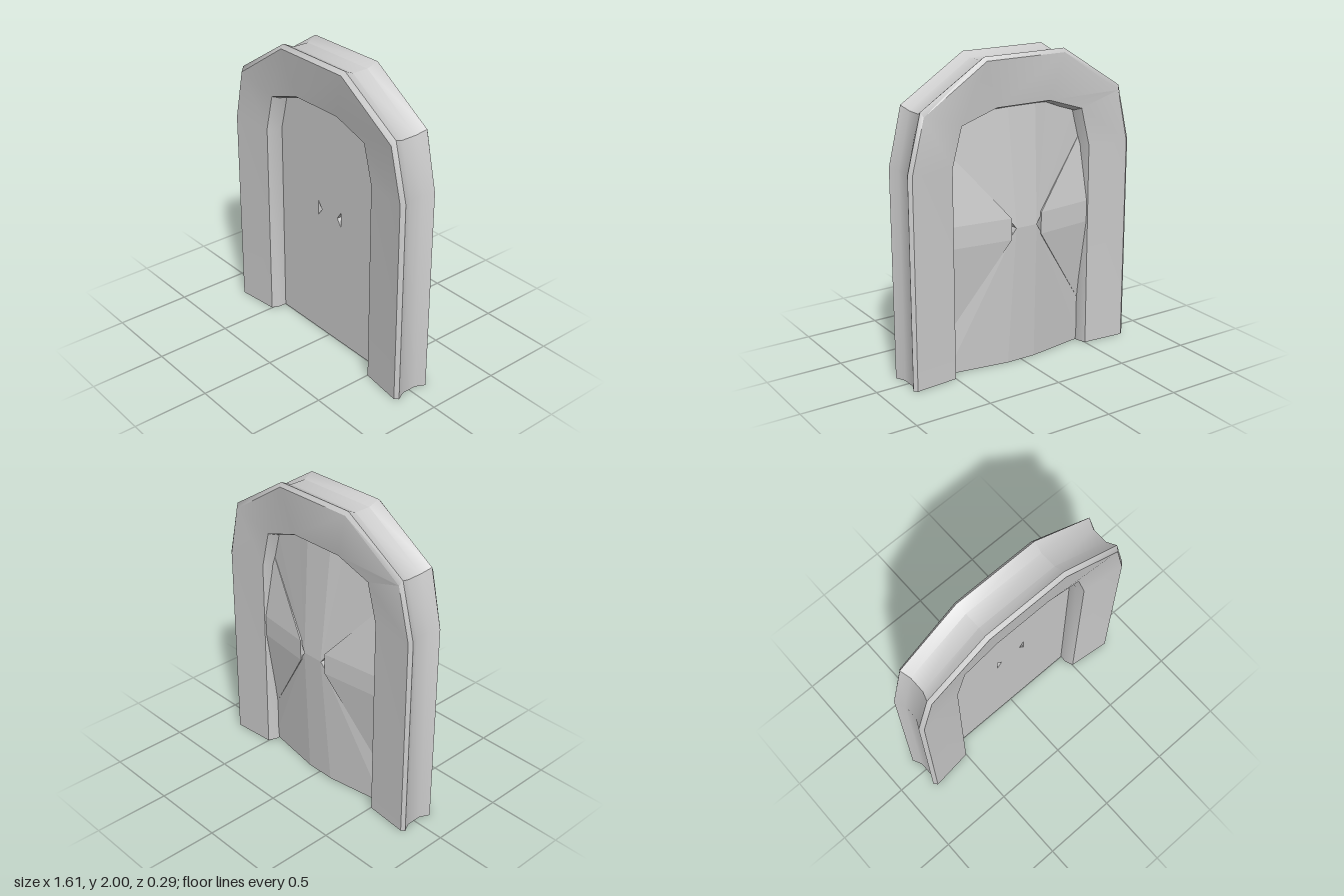
import * as THREE from 'three';
import { toCreasedNormals } from 'three/addons/utils/BufferGeometryUtils.js';

const BACK_EDGE = -0.02;   // panel back at its rim
const ARM_END = -0.085;    // raised arms at the rim
const HUB = -0.145;        // raised arms at the middle
const MID = 0.92;          // height of the panel's middle

const geometryFrom = (triangles) => {
  const g = new THREE.BufferGeometry();
  g.setAttribute('position', new THREE.Float32BufferAttribute(triangles.flat(2), 3));
  return g;
};

const mirrorPath = (half) => [...half, ...half.map(([x, y]) => [-x, y]).reverse()];

// Stone surround: a grooved section carried along the arch
function archGeometry() {
  const jamb = mirrorPath([[0.48, 0], [0.48, 1.35], [0.42, 1.585], [0.185, 1.662]]);
  const faceIn = mirrorPath([[0.502, 0], [0.502, 1.357], [0.437, 1.605], [0.192, 1.685]]);
  const faceOut = mirrorPath([[0.785, 0], [0.785, 1.355], [0.704, 1.695], [0.278, 1.976]]);
  const lip = mirrorPath([[0.807, 0], [0.807, 1.36], [0.717, 1.725], [0.285, 2.0]]);
  const groove = mirrorPath([[0.776, 0], [0.776, 1.354], [0.694, 1.699], [0.275, 1.969]]);
  // [loop, z]
  const section = [
    [jamb, -0.05], [faceIn, -0.106], [faceOut, -0.13], [lip, -0.112], [groove, -0.05],
    [groove, 0.05], [lip, 0.112], [faceOut, 0.135], [faceIn, 0.102], [jamb, 0.05],
  ];
  const rings = jamb.map((_, i) => section.map(([loop, z]) => {
    const [x, y] = loop[i];
    // the surround thickens slightly toward the crown
    const swell = 1 + 0.09 * THREE.MathUtils.clamp((y - 1.3) / 0.7, 0, 1);
    return [x, y, z * swell];
  }));
  const tris = [];
  const n = section.length;
  for (let i = 0; i < rings.length - 1; i++) {
    for (let j = 0; j < n; j++) {
      const k = (j + 1) % n;
      const a = rings[i][j], b = rings[i][k], c = rings[i + 1][k], d = rings[i + 1][j];
      tris.push([a, d, c], [a, c, b]);
    }
  }
  // feet
  const contour = rings[0].map(([x, , z]) => new THREE.Vector2(x, z));
  const last = rings[rings.length - 1];
  for (const [a, b, c] of THREE.ShapeUtils.triangulateShape(contour, [])) {
    tris.push([rings[0][a], rings[0][b], rings[0][c]], [last[a], last[c], last[b]]);
  }
  return toCreasedNormals(geometryFrom(tris), 0.65);
}

// Flat panel front with two small triangular openings
function panelFrontGeometry() {
  const outline = mirrorPath([[0.52, 0], [0.52, 1.36], [0.45, 1.62], [0.2, 1.7]]);
  const shape = new THREE.Shape(outline.map(([x, y]) => new THREE.Vector2(x, y)));
  for (const s of [1, -1]) {
    shape.holes.push(new THREE.Path([
      new THREE.Vector2(s * 0.11, MID + 0.05),
      new THREE.Vector2(s * 0.11, MID - 0.05),
      new THREE.Vector2(s * 0.075, MID),
    ]));
  }
  return new THREE.ShapeGeometry(shape);
}

// Faceted panel back: four raised arms with valleys along the diagonals
function panelBackGeometry() {
  const tris = [];
  const fan = (pts, faceBack = true) => {
    for (let i = 1; i < pts.length - 1; i++) {
      const [a, b, c] = [pts[0], pts[i], pts[i + 1]];
      const nz = (b[0] - a[0]) * (c[1] - a[1]) - (b[1] - a[1]) * (c[0] - a[0]);
      tris.push(faceBack && nz > 0 ? [a, c, b] : [a, b, c]);
    }
  };
  const halves = [
    { up: 1, valleyY: 1.47, armY: 1.7, rim: [[0.45, 1.62, -0.025], [0.2, 1.7, -0.065]] },
    { up: -1, valleyY: 0.25, armY: 0, rim: [[0.52, 0, BACK_EDGE]] },
  ];
  for (const { up, valleyY, armY, rim } of halves) {
    const y = MID + up * 0.07;
    // upright arm
    fan([[0.075, MID, HUB], [-0.075, MID, HUB], [-0.1, armY, ARM_END], [0.1, armY, ARM_END]]);
    for (const s of [1, -1]) {
      const m = ([px, py, pz]) => [s * px, py, pz];
      const tip = m([0.075, MID, HUB]);
      const valleyIn = m([0.11, y, -0.09]);
      const valleyOut = m([0.52, valleyY, BACK_EDGE]);
      const hub = m([0.11, y, HUB]);
      const armOut = m([0.52, y, ARM_END - 0.01]);
      // slopes on both sides of the valley
      fan([tip, valleyIn, valleyOut, ...rim.map(m), m([0.1, armY, ARM_END])]);
      fan([hub, armOut, valleyOut, valleyIn]);
      // level arm, its end and the wall of the opening
      fan([hub, armOut, m([0.52, MID, ARM_END - 0.01]), m([0.11, MID, HUB])]);
      const front = m([0.11, MID + up * 0.05, 0]);
      fan([hub, m([0.11, MID, HUB]), m([0.11, MID, 0]), front, valleyIn], false);
      fan([tip, valleyIn, front, m([0.075, MID, 0])], false);
    }
  }
  // underside
  fan([[0.52, 0, 0], [-0.52, 0, 0], [-0.52, 0, BACK_EDGE], [-0.1, 0, ARM_END],
    [0.1, 0, ARM_END], [0.52, 0, BACK_EDGE]], false);
  const g = geometryFrom(tris);
  g.computeVertexNormals();
  return g;
}

export function createModel() {
  const model = new THREE.Group();
  model.name = 'archedDoor';
  const stone = new THREE.MeshStandardMaterial({ color: 0xcccccc });
  const thin = new THREE.MeshStandardMaterial({ color: 0xcccccc, side: THREE.DoubleSide });
  const flat = new THREE.MeshStandardMaterial({
    color: 0xcccccc, side: THREE.DoubleSide, flatShading: true,
  });
  const add = (name, geometry, material) => {
    const mesh = new THREE.Mesh(geometry, material);
    mesh.name = name;
    model.add(mesh);
  };
  add('archFrame', archGeometry(), stone);
  add('doorPanelFront', panelFrontGeometry(), thin);
  add('doorPanelBack', panelBackGeometry(), flat);
  return model;
}
